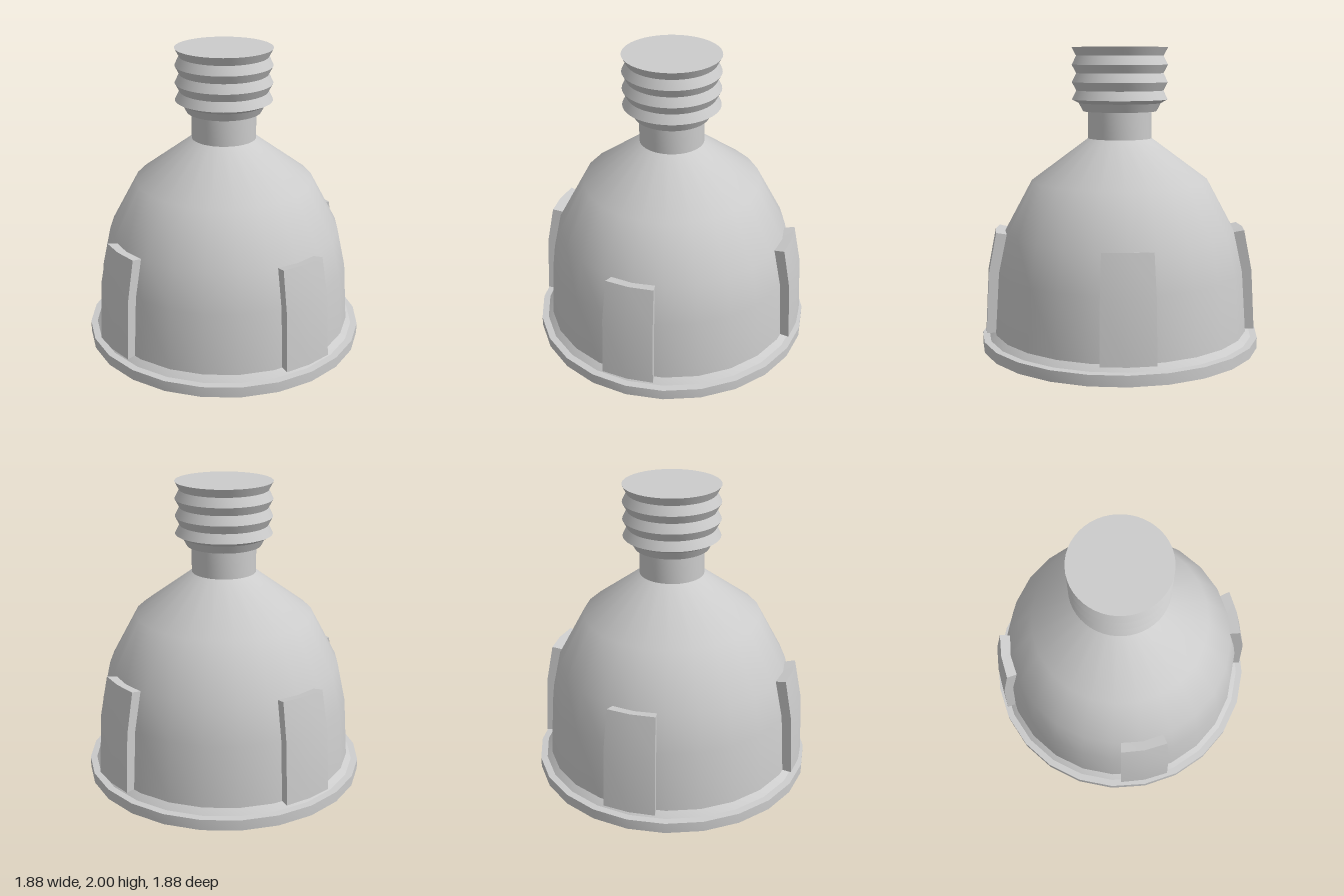
import * as THREE from 'three';
import { toCreasedNormals, mergeGeometries } from 'three/addons/utils/BufferGeometryUtils.js';

const material = new THREE.MeshStandardMaterial({ color: 0xcccccc, side: THREE.DoubleSide });
const CREASE = THREE.MathUtils.degToRad(30);
const toPoints = (list) => list.map(([r, y]) => new THREE.Vector2(r, y));

function makeMesh(name, geometry) {
  const mesh = new THREE.Mesh(toCreasedNormals(geometry, CREASE), material);
  mesh.name = name;
  return mesh;
}

const turned = (name, profile, sides) =>
  makeMesh(name, new THREE.LatheGeometry(toPoints(profile), sides));

// Curved raised pad: a closed section swept through a short arc, with flat ends
function padGeometry() {
  const section = toPoints([[0.8, 0.113], [0.916, 0.113], [0.893, 0.52], [0.84, 0.79], [0.765, 0.775]]);
  const half = THREE.MathUtils.degToRad(10.9);
  const skin = new THREE.LatheGeometry([...section, section[0].clone()], 2, -half, 2 * half);
  const ends = [-half, half].map((phi) => {
    const outline = phi < 0 ? new THREE.ShapeGeometry(new THREE.Shape(section))
      : new THREE.ShapeGeometry(new THREE.Shape(section)).scale(1, 1, -1);
    if (phi > 0) outline.setIndex([...outline.index.array].reverse());
    return outline.rotateY(phi - Math.PI / 2);
  });
  return mergeGeometries([skin, ...ends].map((g) => g.toNonIndexed()));
}

export function createModel() {
  const group = new THREE.Group();
  group.name = 'bell';

  // Base flange with a flat underside and a small chamfer up to the dome
  group.add(turned('baseRim', [[0, 0], [0.94, 0], [0.94, 0.072], [0.895, 0.075], [0.86, 0.112]], 24));

  // Dome body
  group.add(turned('dome', [[0.86, 0.112], [0.832, 0.52], [0.775, 0.78], [0.592, 1.12], [0.213, 1.4]], 24));

  // Plain neck
  group.add(turned('neck', [[0.213, 1.4], [0.213, 1.58]], 32));

  // Ridged cap: flared collar followed by three grooves
  const ridges = [[0.213, 1.58], [0.245, 1.58], [0.274, 1.634], [0.319, 1.658]];
  for (let i = 0; i < 3; i++) {
    const y = 1.658 + i * 0.114;
    ridges.push([0.29, y + 0.059], [0.319, y + 0.114]);
  }
  ridges[ridges.length - 1][1] = 2;
  ridges.push([0, 2]);
  group.add(turned('ridgedCap', ridges, 48));

  // Four pads around the dome
  const pad = padGeometry();
  for (let i = 0; i < 4; i++) {
    const mesh = makeMesh('pad' + (i + 1), pad);
    mesh.rotation.y = (i * Math.PI) / 2;
    group.add(mesh);
  }
  return group;
}
